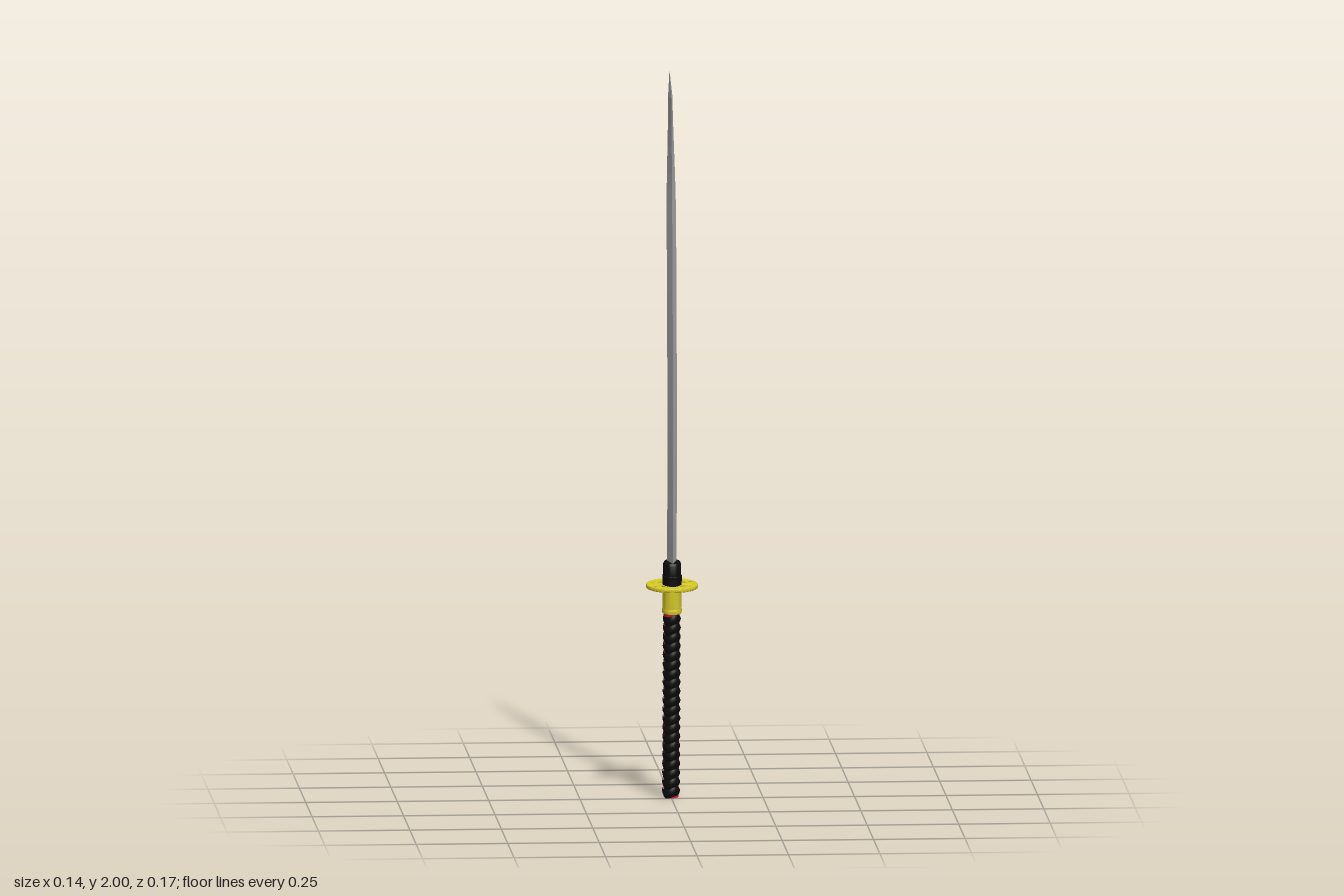
import * as THREE from 'three';
import { toCreasedNormals } from 'three/addons/utils/BufferGeometryUtils.js';

const paint = (name, color) => Object.assign(new THREE.MeshStandardMaterial({ color }), { name });

// Joins closed cross-section rings (listed bottom to top) into a skin
function loft(rows) {
  const n = rows[0].length, index = [];
  for (let j = 0; j < rows.length - 1; j++) {
    for (let i = 0; i < n; i++) {
      const a = j * n + i, b = j * n + (i + 1) % n;
      index.push(a, b, b + n, a, b + n, a + n);
    }
  }
  const g = new THREE.BufferGeometry();
  g.setAttribute('position', new THREE.Float32BufferAttribute(rows.flat(2), 3));
  g.setIndex(index);
  g.computeVertexNormals();
  return g;
}

// Oval turned part: profile of [half width in x, y], stretched along z
function ovalLathe(profile, stretch) {
  const g = new THREE.LatheGeometry(profile.map(p => new THREE.Vector2(...p)), 40);
  g.scale(1, 1, stretch);
  return toCreasedNormals(g, 0.6);
}

// Curved blade: each curve point holds spine z, height, edge z
function bladeGeometry() {
  const curve = new THREE.CatmullRomCurve3([
    [-0.012, 0.6, 0.049], [-0.007, 0.68, 0.052], [0.003, 0.82, 0.056], [0.007, 1.0, 0.057],
    [0.004, 1.2, 0.053], [-0.007, 1.4, 0.042], [-0.025, 1.6, 0.025], [-0.05, 1.8, 0.004],
    [-0.069, 1.93, -0.013],
  ].map(p => new THREE.Vector3(...p)));
  const rows = curve.getPoints(40).map(({ x: spine, y, z: edge }) => {
    const h = 0.013 - 0.007 * THREE.MathUtils.smoothstep(y, 1.6, 1.95);
    const ridge = spine + 0.27 * (edge - spine);
    return [[0, y, edge], [h, y, ridge], [0.35 * h, y, spine], [-0.35 * h, y, spine], [-h, y, ridge]];
  });
  rows.push(rows[0].map(() => [0, 2, -0.082]));
  const g = loft(rows).toNonIndexed();
  g.computeVertexNormals();
  return g;
}

// One turn of cord, pinched on both flanks so the core shows between turns
function wrapGeometry() {
  const rows = [];
  for (let j = 0; j <= 6; j++) {
    const t = j / 3 - 1, r = 1 - 0.12 * t * t, row = [];
    for (let i = 0; i < 48; i++) {
      const a = i / 48 * Math.PI * 2, c = Math.cos(a), s = Math.sin(a);
      const half = 0.0131 - 0.008 * Math.max(0, 1 - Math.abs(c) / 0.55);
      row.push([0.0245 * r * s, half * t + 0.004 * Math.sin(2 * a), 0.0325 * r * c]);
    }
    rows.push(row);
  }
  return loft(rows);
}

// Pierced round guard with two crescent openings and ten slots
function guardGeometry() {
  const shape = new THREE.Shape();
  shape.absarc(0, 0, 0.069, 0, Math.PI * 2);
  for (const side of [0, Math.PI]) {
    const hole = new THREE.Path();
    hole.absarc(0, 0, 0.047, side + 0.3, side + Math.PI - 0.3, false);
    hole.absellipse(0, 0, 0.028, 0.037, side + Math.PI - 0.35, side + 0.35, true);
    hole.closePath();
    shape.holes.push(hole);
  }
  for (let i = 0; i < 12; i++) {
    if (i % 6 === 0) continue;
    const a = i * Math.PI / 6;
    const slot = new THREE.Path();
    slot.absellipse(0.056 * Math.cos(a), 0.056 * Math.sin(a), 0.006, 0.01, 0, Math.PI * 2, false, a);
    shape.holes.push(slot);
  }
  const g = new THREE.ExtrudeGeometry(shape, {
    depth: 0.006, bevelThickness: 0.002, bevelSize: 0.002, bevelSegments: 2, curveSegments: 32,
  });
  g.translate(0, 0, -0.003);
  g.rotateX(-Math.PI / 2);
  return toCreasedNormals(g, 0.6);
}

export function createModel() {
  const steel = paint('steel', 0xb0b0b0);
  const gold = paint('gold', 0xd8cc28);
  const black = paint('black', 0x0c0c0c);
  const red = paint('red', 0xdc143c);

  const model = new THREE.Group();
  model.name = 'sword';
  const add = (parent, name, geometry, material, y = 0) => {
    const mesh = new THREE.Mesh(geometry, material);
    mesh.name = name;
    mesh.position.y = y;
    parent.add(mesh);
    return mesh;
  };

  add(model, 'blade', bladeGeometry(), steel);

  // Hilt leans slightly; its origin is the top of the grip
  const hilt = new THREE.Group();
  hilt.name = 'hilt';
  hilt.position.set(0, 0.52, 0.0115);
  hilt.rotation.x = 0.066;
  model.add(hilt);

  // Grip core and cord wrap
  const core = new THREE.CylinderGeometry(0.0208, 0.0208, 0.518, 40);
  core.scale(1, 1, 1.34);
  add(hilt, 'gripCore', core, red, -0.259);
  const wrap = wrapGeometry();
  const turns = 20, pitch = 0.0253;
  for (let i = 0; i < turns; i++) add(hilt, 'gripWrap', wrap, black, -0.5025 + i * pitch);

  // Collar, guard and blade sleeve
  add(hilt, 'collar', ovalLathe([
    [0, -0.004], [0.026, -0.004], [0.027, 0], [0.027, 0.006], [0.0255, 0.009], [0.0255, 0.066], [0, 0.066],
  ], 1.33), gold);
  add(hilt, 'guard', guardGeometry(), gold, 0.071);
  const rim = new THREE.TorusGeometry(0.0675, 0.004, 10, 64);
  rim.rotateX(Math.PI / 2);
  rim.scale(1, 1.5, 1);
  add(hilt, 'guardRim', rim, gold, 0.071);
  add(hilt, 'bladeSleeve', ovalLathe([
    [0, 0.074], [0.0265, 0.074], [0.0265, 0.1], [0.0245, 0.102], [0.0245, 0.132], [0.022, 0.138], [0, 0.138],
  ], 1.45), black);

  return model;
}
